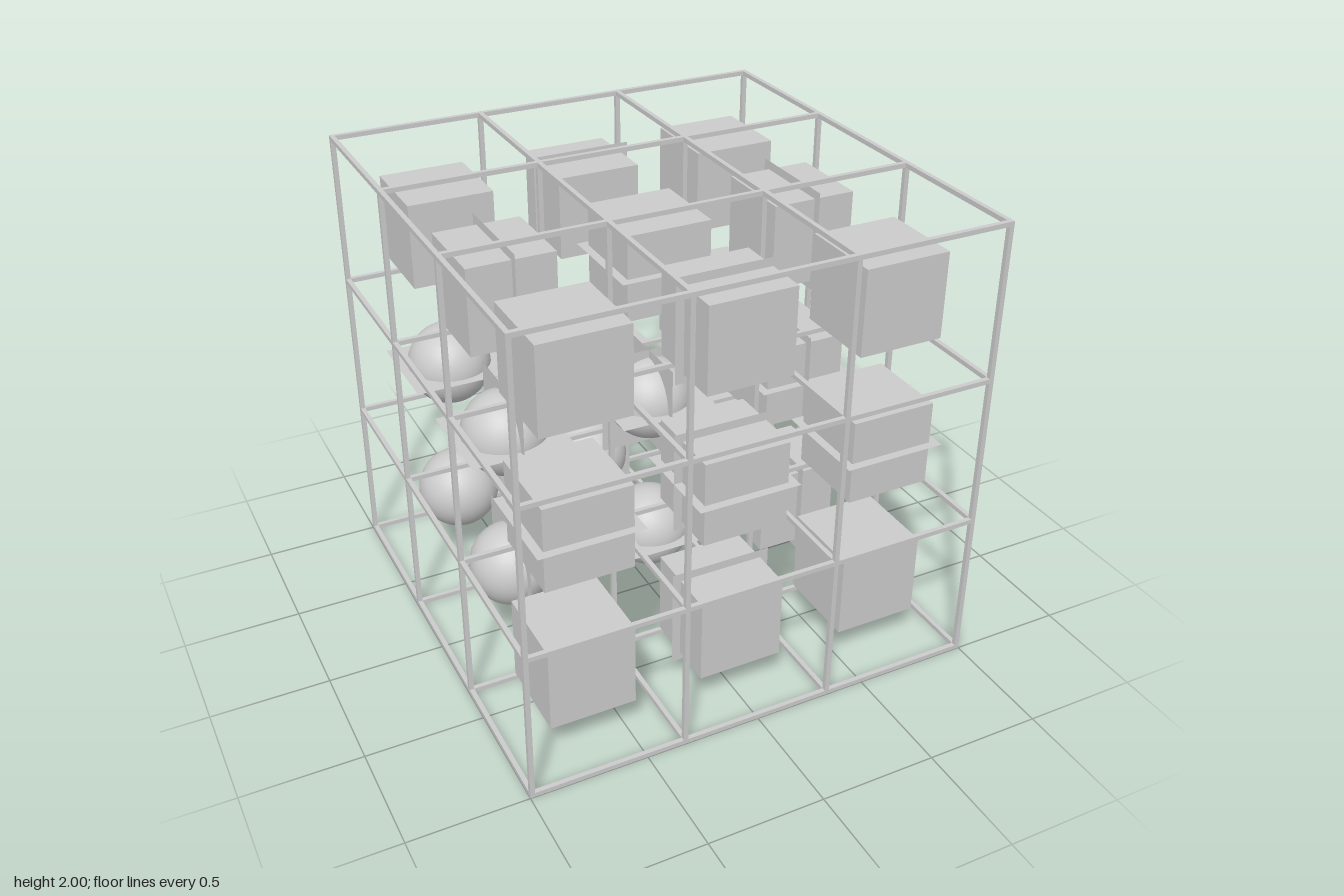
import * as THREE from 'three';

const PITCH = 0.66;
const BAR = 0.02;
const SIZE = 0.367;
const PANEL = 0.44;

export function createModel() {
  const model = new THREE.Group();
  const solid = new THREE.MeshStandardMaterial({ color: 0xcccccc });
  const sheet = new THREE.MeshStandardMaterial({ color: 0xcccccc, side: THREE.DoubleSide });

  const add = (parent, name, geometry, material, x, y, z) => {
    const mesh = new THREE.Mesh(geometry, material);
    mesh.name = name;
    mesh.position.set(x, y, z);
    parent.add(mesh);
    return mesh;
  };

  // Lattice of square bars, running through all three directions
  const lattice = new THREE.Group();
  lattice.name = 'lattice';
  lattice.position.y = 1;
  model.add(lattice);
  const barX = new THREE.BoxGeometry(2, BAR, BAR);
  const barY = new THREE.BoxGeometry(BAR, 2, BAR);
  const barZ = new THREE.BoxGeometry(BAR, BAR, 2);
  const lines = [-1.5, -0.5, 0.5, 1.5].map((n) => n * PITCH);
  for (const a of lines) {
    for (const b of lines) {
      add(lattice, 'barAcross', barX, solid, 0, a, b);
      add(lattice, 'barUpright', barY, solid, a, 0, b);
      add(lattice, 'barDeep', barZ, solid, a, b, 0);
    }
  }

  const cube = new THREE.BoxGeometry(SIZE, SIZE, SIZE);
  const ball = new THREE.SphereGeometry(SIZE / 2, 32, 20);
  const panelZ = new THREE.PlaneGeometry(PANEL, PANEL);
  const panelX = panelZ.clone().rotateY(Math.PI / 2);
  const panelY = panelZ.clone().rotateX(-Math.PI / 2);

  // One solid in every cell, with thin panels through the non-corner cells
  for (let i = -1; i <= 1; i++) {
    for (let j = -1; j <= 1; j++) {
      for (let k = -1; k <= 1; k++) {
        const cell = new THREE.Group();
        cell.name = 'cell';
        cell.position.set(i * PITCH, 1.003 + j * PITCH, k * PITCH);
        model.add(cell);

        // Balls fill one octant, cubes the rest
        const isBall = i < 1 && j < 1 && k < 1;
        add(cell, isBall ? 'ball' : 'cube', isBall ? ball : cube, solid, 0, 0, 0);

        const centre = i === 0 && j === 0 && k === 0;
        const column = i === 0 && k === 0;
        if (centre || (k === 0 && i !== 0)) add(cell, 'sidePanel', panelX, sheet, 0, 0, 0);
        if (centre || (i === 0 && k !== 0)) add(cell, 'frontPanel', panelZ, sheet, 0, 0, 0);
        if (j === 0 || column) add(cell, 'levelPanel', panelY, sheet, 0, 0, 0);
      }
    }
  }
  return model;
}
